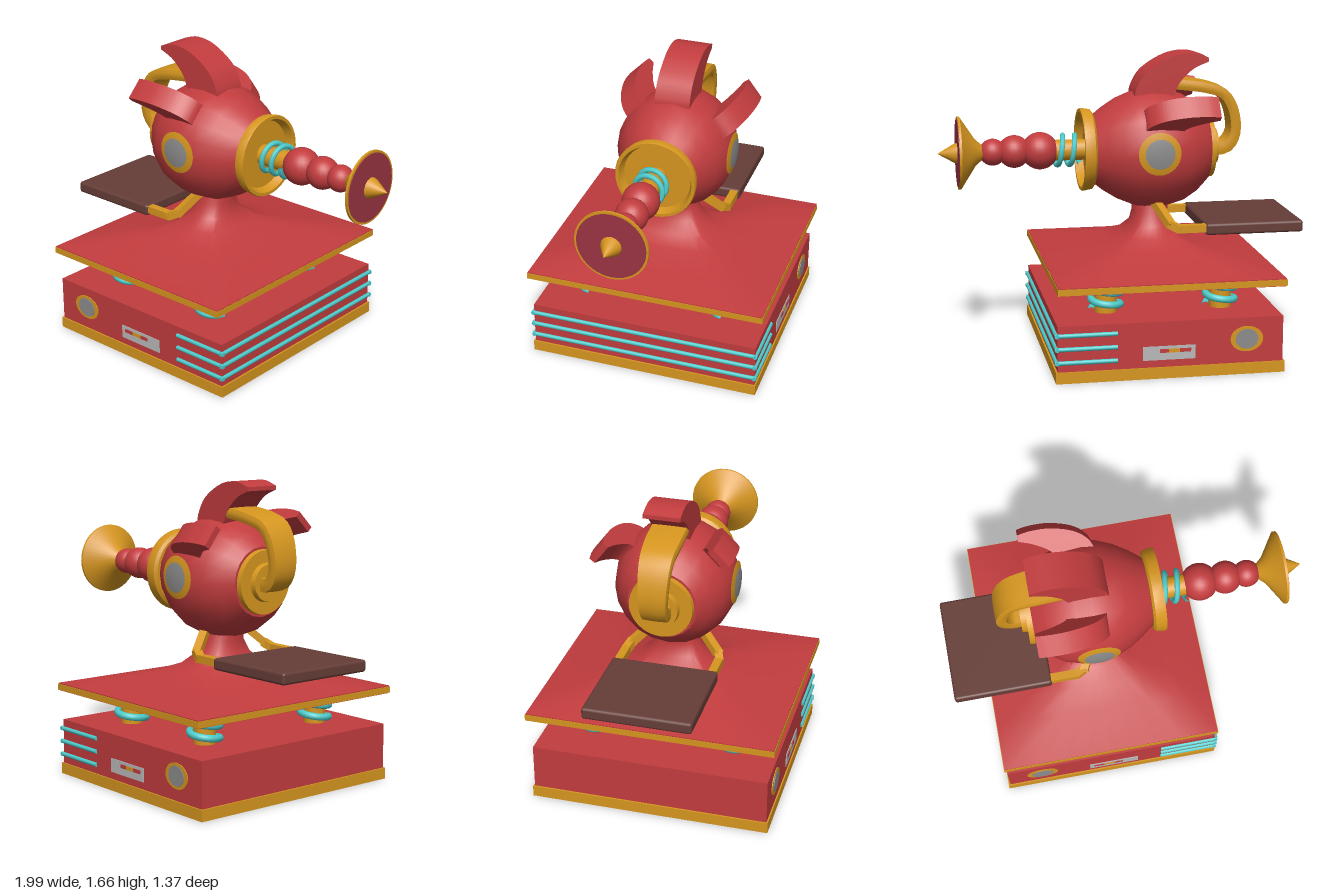
import * as THREE from 'three';
import { toCreasedNormals } from 'three/addons/utils/BufferGeometryUtils.js';
import { RoundedBoxGeometry } from 'three/addons/geometries/RoundedBoxGeometry.js';

const AXIS_Y = 1.13; // height of the body's long axis

export function createModel() {
  const model = new THREE.Group();
  const mat = (name, color) => {
    const m = new THREE.MeshStandardMaterial({ color });
    m.name = name;
    return m;
  };
  const red = mat('red', 0xc23c3e);
  const darkRed = mat('dark red', 0x9a3442);
  const gold = mat('gold', 0xd6961f);
  const teal = mat('teal', 0x4ecbcb);
  const brown = mat('brown', 0x663d37);
  const grey = mat('grey', 0x8c8c8c);
  const silver = mat('silver', 0xb9b9b9);

  const add = (name, geo, material, x = 0, y = 0, z = 0) => {
    const mesh = new THREE.Mesh(geo, material);
    mesh.name = name;
    mesh.position.set(x, y, z);
    model.add(mesh);
    return mesh;
  };
  const box = (name, material, x0, x1, y0, y1, z0, z1) =>
    add(name, new THREE.BoxGeometry(x1 - x0, y1 - y0, z1 - z0), material,
      (x0 + x1) / 2, (y0 + y1) / 2, (z0 + z1) / 2);

  // Turned part around the body's long axis; points are [x, radius]
  const turned = (name, material, points, sides = 40, crease = 0.6) => {
    const geo = new THREE.LatheGeometry(points.map(([x, r]) => new THREE.Vector2(r, x)), sides);
    geo.rotateZ(-Math.PI / 2);
    return add(name, toCreasedNormals(geo, crease), material, 0, AXIS_Y, 0);
  };

  // Helical spring rising along y
  const springGeometry = (radius, wire, height, turns) => {
    const pts = [];
    const n = Math.round(turns * 16);
    for (let i = 0; i <= n; i++) {
      const a = (i / n) * turns * Math.PI * 2;
      pts.push(new THREE.Vector3(Math.cos(a) * radius, (i / n) * height, Math.sin(a) * radius));
    }
    return new THREE.TubeGeometry(new THREE.CatmullRomCurve3(pts), n * 2, wire, 8);
  };

  // Skin over rings; each ring blends from rectangle (round = 0) to ellipse (round = 1)
  const loft = (rings, sides = 32) => {
    const pos = [], index = [];
    rings.forEach(({ c, u, v, round }) => {
      for (let j = 0; j < sides; j++) {
        const a = (j / sides) * Math.PI * 2;
        const k = THREE.MathUtils.lerp(1 / Math.max(Math.abs(Math.cos(a)), Math.abs(Math.sin(a))), 1, round);
        const p = c.clone().addScaledVector(u, Math.cos(a) * k).addScaledVector(v, Math.sin(a) * k);
        pos.push(p.x, p.y, p.z);
      }
    });
    for (let i = 0; i < rings.length - 1; i++) {
      for (let j = 0; j < sides; j++) {
        const a = i * sides + j, b = i * sides + (j + 1) % sides;
        index.push(a, a + sides, b, b, a + sides, b + sides);
      }
    }
    const geo = new THREE.BufferGeometry();
    geo.setAttribute('position', new THREE.Float32BufferAttribute(pos, 3));
    geo.setIndex(index);
    return toCreasedNormals(geo, 0.6);
  };

  // Base box
  box('baseSlab', gold, -0.8, 0.44, 0, 0.062, -0.66, 0.66);
  box('baseBox', red, -0.79, 0.43, 0.062, 0.312, -0.652, 0.652);

  // Rails wrapping the +x end of the base
  const rail = (length) => new THREE.CylinderGeometry(0.012, 0.012, length, 10);
  for (const y of [0.112, 0.186, 0.26]) {
    add('endRail', rail(1.33).rotateX(Math.PI / 2), teal, 0.434, y, 0);
    for (const s of [-1, 1]) add('sideRail', rail(0.335).rotateZ(Math.PI / 2), teal, 0.278, y, s * 0.654);
  }

  for (const s of [-1, 1]) {
    // Name plate and round port on both long sides
    const plate = (name, m, x0, x1, y0, y1, d) =>
      box(name, m, x0, x1, y0, y1, s * 0.652 - d, s * 0.652 + d);
    plate('sidePlate', silver, -0.31, -0.025, 0.102, 0.178, 0.004);
    plate('gaugeRed', red, -0.285, -0.225, 0.142, 0.162, 0.007);
    plate('gaugeGold', gold, -0.225, -0.165, 0.142, 0.162, 0.007);
    plate('gaugeEnd', red, -0.165, -0.115, 0.142, 0.162, 0.007);
    const disc = (name, m, rx, ry, d) =>
      add(name, new THREE.CylinderGeometry(1, 1, d, 32).rotateX(Math.PI / 2).scale(rx, ry, 1),
        m, -0.59, 0.195, s * 0.652);
    disc('portRing', gold, 0.09, 0.07, 0.009);
    disc('portGlass', grey, 0.062, 0.055, 0.016);

    // Suspension posts with springs
    for (const x of [-0.502, 0.132]) {
      add('post', new THREE.CylinderGeometry(0.06, 0.06, 0.18, 20), gold, x, 0.4, s * 0.395);
      add('suspensionSpring', springGeometry(0.08, 0.02, 0.165, 2.5), teal, x, 0.317, s * 0.395);
    }
  }

  // Floating platform with flared neck
  box('platformEdge', gold, -0.8, 0.43, 0.485, 0.52, -0.685, 0.685);
  box('platformUnderside', red, -0.792, 0.422, 0.481, 0.486, -0.677, 0.677);
  const neck = [ // y, half x, half z, roundness
    [0.519, 0.612, 0.682, 0], [0.525, 0.612, 0.682, 0], [0.57, 0.42, 0.46, 0.1],
    [0.61, 0.25, 0.32, 0.3], [0.65, 0.165, 0.22, 0.55], [0.71, 0.115, 0.155, 0.8],
    [0.78, 0.1, 0.12, 1], [0.88, 0.105, 0.105, 1]];
  add('neck', loft(neck.map(([y, hx, hz, round]) => ({
    c: new THREE.Vector3(-0.185, y, 0), u: new THREE.Vector3(hx, 0, 0), v: new THREE.Vector3(0, 0, hz), round,
  }))), red);

  // Round body
  turned('body', red, [[-0.5, 0], [-0.5, 0.19], [-0.44, 0.25], [-0.36, 0.3], [-0.27, 0.325],
    [-0.18, 0.332], [-0.09, 0.322], [0, 0.285], [0.08, 0.235], [0.15, 0.18], [0.15, 0]], 20);

  // Eyes, shallow caps on both flanks
  for (const s of [-1, 1]) {
    const cap = (name, m, r, lift) => {
      const geo = new THREE.SphereGeometry(0.45, 32, 4, 0, Math.PI * 2, 0, Math.asin(r / 0.45));
      add(name, geo.rotateX(s * Math.PI / 2), m, -0.18, 1.148, s * (0.337 + lift - 0.45));
    };
    cap('eyeRing', gold, 0.117, 0);
    cap('eyeGlass', grey, 0.082, 0.005);
  }

  // Front collar, snout and end dish
  turned('collar', gold, [[0.14, 0], [0.14, 0.205], [0.152, 0.222], [0.2, 0.23], [0.21, 0.226],
    [0.21, 0.208], [0.165, 0.19], [0.165, 0]]);
  turned('snoutRod', gold, [[0.16, 0.058], [0.36, 0.058]], 20);
  add('snoutSpring', springGeometry(0.082, 0.015, 0.15, 2.25).rotateZ(-Math.PI / 2), teal, 0.205, AXIS_Y, 0);
  for (const [x, r] of [[0.432, 0.103], [0.575, 0.09], [0.693, 0.074]]) {
    add('snoutBall', new THREE.SphereGeometry(r, 24, 16), red, x, AXIS_Y, 0);
  }
  turned('dish', gold, [[0.745, 0], [0.745, 0.035], [0.79, 0.075], [0.872, 0.2], [0.885, 0.2], [0.885, 0]]);
  turned('dishFace', darkRed, [[0.884, 0.188], [0.888, 0.188], [0.888, 0]]);
  turned('dishTip', gold, [[0.885, 0.058], [0.905, 0.052], [0.995, 0]], 24);

  // Rear discs
  turned('rearDisc', gold, [[-0.53, 0], [-0.53, 0.172], [-0.495, 0.176], [-0.495, 0]]);
  turned('rearCap', gold, [[-0.56, 0], [-0.56, 0.1], [-0.53, 0.105]]);

  // Strap handle from the rear cap up to the crest
  const strapPath = new THREE.CatmullRomCurve3([[-0.53, 1.125], [-0.61, 1.13], [-0.658, 1.2], [-0.645, 1.34],
    [-0.59, 1.43], [-0.5, 1.465], [-0.3, 1.495]].map(([x, y]) => new THREE.Vector3(x, y, 0)));
  const strap = [];
  for (let i = 0; i <= 24; i++) {
    const t = i / 24, d = strapPath.getTangentAt(t);
    const half = 0.03 + 0.012 * Math.max(0, 1 - t * 4);
    strap.push({
      c: strapPath.getPointAt(t),
      u: new THREE.Vector3(0, 0, 0.065 + 0.035 * Math.min(1, t * 1.3)),
      v: new THREE.Vector3(-d.y, d.x, 0).multiplyScalar(half),
      round: 0.25,
    });
  }
  add('strapHandle', loft(strap, 16), gold);

  // Curved fins: outer and inner edges as [x, distance from the axis]
  const fin = (name, outer, inner, width, angle) => {
    const v = (list) => list.map(([x, r]) => new THREE.Vector2(x, r));
    const shape = new THREE.Shape();
    shape.moveTo(...outer[0]);
    shape.splineThru(v(outer.slice(1)));
    shape.lineTo(...inner[0]);
    shape.splineThru(v(inner.slice(1)));
    const geo = new THREE.ExtrudeGeometry(shape, { depth: width, bevelEnabled: false, curveSegments: 12 });
    geo.translate(0, 0, -width / 2);
    add(name, toCreasedNormals(geo, 0.5), red, 0, AXIS_Y, 0).rotation.x = angle;
  };
  fin('topFin', [[-0.08, 0.26], [-0.09, 0.34], [-0.15, 0.435], [-0.28, 0.513], [-0.4, 0.532], [-0.495, 0.507]],
    [[-0.495, 0.485], [-0.41, 0.447], [-0.335, 0.375], [-0.3, 0.3], [-0.25, 0.22]], 0.2, 0);
  for (const angle of [0.79, -0.92]) {
    fin('sideFin', [[-0.1, 0.26], [-0.125, 0.35], [-0.2, 0.415], [-0.32, 0.452], [-0.43, 0.456], [-0.5, 0.445]],
      [[-0.5, 0.41], [-0.42, 0.38], [-0.34, 0.33], [-0.3, 0.27], [-0.22, 0.22]], 0.125, angle);
  }

  // Rear seat pad on two bent arms
  add('seatPad', new RoundedBoxGeometry(0.55, 0.065, 0.59, 2, 0.015), brown, -0.723, 0.713, 0);
  const beam = (a, b) => {
    const from = new THREE.Vector3(...a), to = new THREE.Vector3(...b);
    const mesh = add('seatArm', new THREE.BoxGeometry(0.045, 0.042, from.distanceTo(to) + 0.02), gold);
    mesh.position.copy(from).lerp(to, 0.5);
    mesh.lookAt(to);
  };
  for (const s of [-1, 1]) {
    beam([-0.19, 0.85, s * 0.13], [-0.255, 0.74, s * 0.245]);
    beam([-0.255, 0.74, s * 0.245], [-0.3, 0.718, s * 0.262]);
    beam([-0.3, 0.718, s * 0.262], [-0.47, 0.718, s * 0.262]);
  }
  return model;
}
